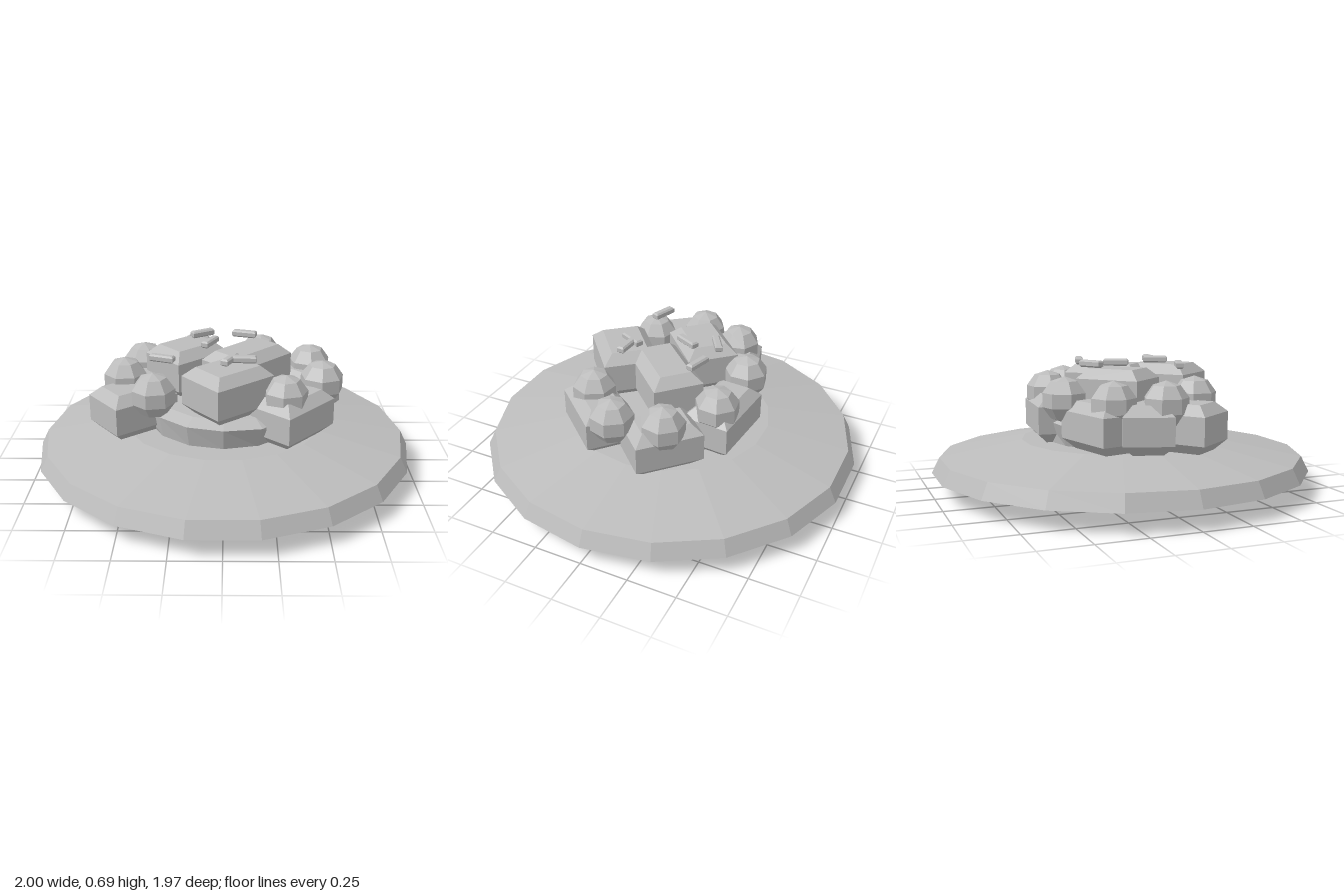
import * as THREE from 'three';

const porcelainGrey = new THREE.MeshStandardMaterial({ color: 0xbcbcbc });

// Faceted mesh: each face gets its own normal
function faceted(geometry, name) {
  const g = geometry.index ? geometry.toNonIndexed() : geometry;
  g.computeVertexNormals();
  const mesh = new THREE.Mesh(g, porcelainGrey);
  mesh.name = name;
  return mesh;
}

// Block with all top and bottom edges chamfered, built from stacked rectangles
function chamferedBlock(length, height, width, bevel) {
  const rings = [[0, bevel], [bevel, 0], [height - bevel, 0], [height, bevel]];
  const pos = [], idx = [];
  for (const [y, inset] of rings) {
    const x = length / 2 - inset, z = width / 2 - inset;
    pos.push(-x, y, z, x, y, z, x, y, -z, -x, y, -z);
  }
  for (let r = 0; r < 3; r++) {
    for (let i = 0; i < 4; i++) {
      const a = r * 4 + i, b = r * 4 + (i + 1) % 4;
      idx.push(a, b, b + 4, a, b + 4, a + 4);
    }
  }
  idx.push(12, 13, 14, 12, 14, 15, 0, 2, 1, 0, 3, 2);
  const g = new THREE.BufferGeometry();
  g.setAttribute('position', new THREE.Float32BufferAttribute(pos, 3));
  g.setIndex(idx);
  return g;
}

export function createModel() {
  const model = new THREE.Group();
  model.name = 'plateOfFood';

  // Shallow plate with an 18-sided rim
  const profile = [[0, 0], [0.53, 0], [1, 0.1], [0.96, 0.18], [0.53, 0.26], [0, 0.26]]
    .map(([r, y]) => new THREE.Vector2(r, y));
  const plate = faceted(new THREE.LatheGeometry(profile, 18), 'plate');
  plate.rotation.y = Math.PI / 2;
  model.add(plate);

  // Uneven leafy bed, flaring outwards with pointed edges
  const bedProfile = [[0, 0.255], [0.4, 0.255], [0.43, 0.37], [0.36, 0.4], [0, 0.41]]
    .map(([r, y]) => new THREE.Vector2(r, y));
  const bedGeometry = new THREE.LatheGeometry(bedProfile, 14);
  const p = bedGeometry.attributes.position;
  for (let i = 0; i < p.count; i++) {
    if (p.getY(i) < 0.3) continue;
    const a = Math.round(Math.atan2(p.getX(i), p.getZ(i)) * 7 / Math.PI + 14) % 14;
    const s = 1 + 0.05 * Math.sin(a * 2.4);
    p.setX(i, p.getX(i) * s);
    p.setZ(i, p.getZ(i) * s);
  }
  model.add(faceted(bedGeometry, 'leafBed'));

  // Chamfered pieces: centre x, centre z, direction dx, dz, length, width
  const addBlocks = (name, rows, y, height, bevel) => {
    for (const [x, z, dx, dz, length, width] of rows) {
      const block = faceted(chamferedBlock(length, height, width, bevel), name);
      block.position.set(x, y, z);
      block.rotation.y = Math.atan2(-dz, dx);
      model.add(block);
    }
  };
  addBlocks('lowerChunk', [
    [0.35, 0.25, 0.245, -0.275, 0.37, 0.25],
    [-0.47, 0.145, 0.21, -0.165, 0.37, 0.267],
    [0.42, -0.145, 0.25, 0.24, 0.35, 0.25],
    [0.1, -0.335, 0.39, 0.035, 0.39, 0.25],
    [-0.35, -0.225, 0.355, -0.09, 0.37, 0.25],
    [-0.43, -0.03, 0.3, 0.1, 0.36, 0.25],
  ], 0.26, 0.24, 0.05);
  addBlocks('upperChunk', [
    [-0.2, -0.09, 0.25, -0.23, 0.34, 0.27],
    [0.12, -0.02, 0.285, -0.29, 0.41, 0.26],
    [0.02, 0.265, 0.275, -0.23, 0.36, 0.29],
  ], 0.4, 0.25, 0.05);

  // Small sticks scattered over the top
  addBlocks('garnishStick', [
    [-0.12, -0.205, 20, -12, 0.13, 0.04],
    [0.11, -0.195, 24, 7, 0.13, 0.04],
    [-0.075, -0.055, 12, -24, 0.13, 0.04],
    [0.03, 0.215, 10, -20, 0.13, 0.04],
    [0.1, 0.21, 26, 2, 0.13, 0.04],
    [-0.31, 0.2, 22, 8, 0.13, 0.04],
  ], 0.65, 0.036, 0.008);

  // Ring of round pieces
  const balls = [[-0.155, -0.36], [0.2, -0.345], [0.465, -0.175], [0.51, 0.08],
    [0.31, 0.29], [-0.355, 0.265], [-0.52, 0.035], [-0.44, -0.205]];
  balls.forEach(([x, z], i) => {
    const ball = faceted(new THREE.SphereGeometry(0.118, 7, 5), 'roundPiece');
    ball.position.set(x, 0.495, z);
    ball.rotation.y = i * 0.8;
    model.add(ball);
  });
  return model;
}
